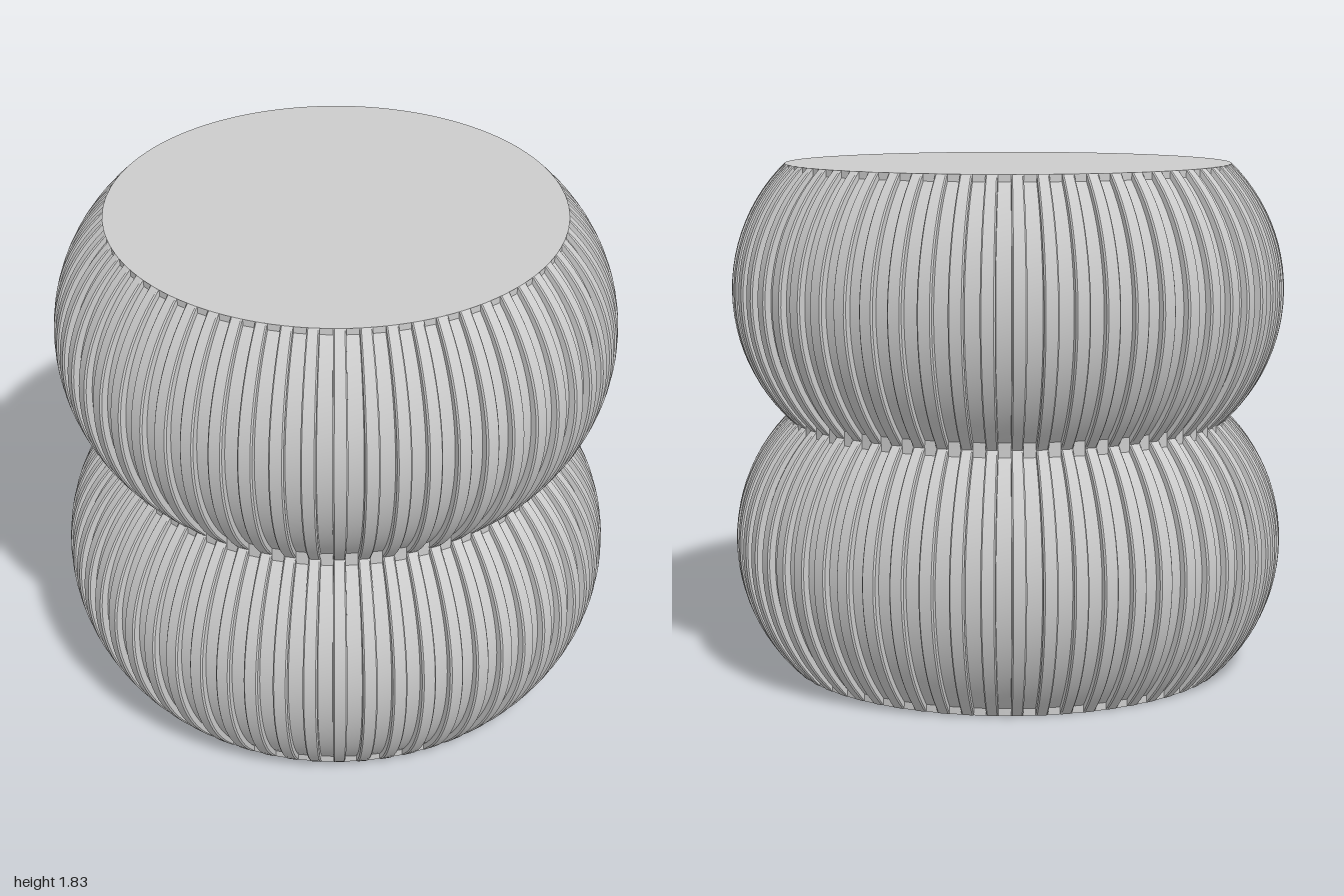
import * as THREE from 'three';
import { toCreasedNormals } from 'three/addons/utils/BufferGeometryUtils.js';

const LOBE_H = 0.915, RIBS = 60, RIM = 0.805;
const ARC_R = 0.634, ARC_C = 1 - ARC_R, ARC_END = 0.806, ARC_KINK = 0.75;
const GROOVE = 0.028, CORE = 0.802;
const RAD = Math.PI / 180;

// One bulging lobe: a circular-arc profile with raised vertical ribs.
function ribbedLobe() {
  // Arc angles from bottom to top, with rows where the grooves run out into the core
  const rows = [-ARC_END];
  for (let i = 0; i <= 22; i++) rows.push(ARC_KINK * (i / 11 - 1));
  rows.push(ARC_END);

  // Rib section: angle in degrees and depth below the rib top
  const section = [
    [-1.5, GROOVE], [-1.45, 0.006], [-1.15, 0],
    [1.15, 0], [1.45, 0.006], [1.5, GROOVE],
  ];
  const n = RIBS * section.length;
  const position = [], index = [];
  rows.forEach((a, j) => {
    const r = ARC_C + ARC_R * Math.cos(a);
    const y = LOBE_H / 2 * (1 + Math.sin(a) / Math.sin(ARC_END));
    for (let k = 0; k < RIBS; k++) {
      for (const [deg, depth] of section) {
        const t = (k * 360 / RIBS + deg) * RAD;
        const rr = Math.max(r - depth, Math.min(r, CORE));
        position.push(rr * Math.sin(t), y, rr * Math.cos(t));
      }
    }
    if (j === 0) return;
    for (let i = 0; i < n; i++) {
      const b0 = (j - 1) * n + i, b1 = (j - 1) * n + (i + 1) % n;
      index.push(b0, b1, b1 + n, b0, b1 + n, b0 + n);
    }
  });
  const g = new THREE.BufferGeometry();
  g.setAttribute('position', new THREE.Float32BufferAttribute(position, 3));
  g.setIndex(index);
  return toCreasedNormals(g, 0.45);
}

// Base ring whose opening has four inward locking tabs.
function basePlate(depth) {
  const shape = new THREE.Shape().absarc(0, 0, CORE, 0, Math.PI * 2, false);
  const pts = [];
  const add = (deg, r) => pts.push(new THREE.Vector2(r * Math.cos(deg * RAD), -r * Math.sin(deg * RAD)));
  for (let k = 0; k < 4; k++) {
    const s = k * 90;
    for (let d = 4; d <= 36; d += 4) add(s + d, 0.53);
    for (let d = 36.5; d <= 91; d += 4.5) add(s + d, 0.59);
  }
  shape.holes.push(new THREE.Path(pts));
  const g = new THREE.ExtrudeGeometry(shape, { depth, bevelEnabled: false, curveSegments: 90 });
  g.rotateX(-Math.PI / 2);
  return toCreasedNormals(g, 0.4);
}

export function createModel() {
  const group = new THREE.Group();
  const grey = new THREE.MeshStandardMaterial({ color: 0xcccccc });
  grey.name = 'light grey';
  const add = (name, geometry, y) => {
    const m = new THREE.Mesh(geometry, grey);
    m.name = name;
    m.position.y = y;
    group.add(m);
  };

  // Two identical stacked lobes
  const lobe = ribbedLobe();
  add('lowerLobe', lobe, 0);
  add('upperLobe', lobe, LOBE_H);

  // Flat top
  add('topCap', new THREE.CircleGeometry(RIM, 120).rotateX(-Math.PI / 2), LOBE_H * 2);

  // Base with a shallow locking recess
  add('basePlate', basePlate(0.04), 0);
  add('recessCeiling', new THREE.CircleGeometry(0.62, 80).rotateX(Math.PI / 2), 0.039);
  return group;
}
